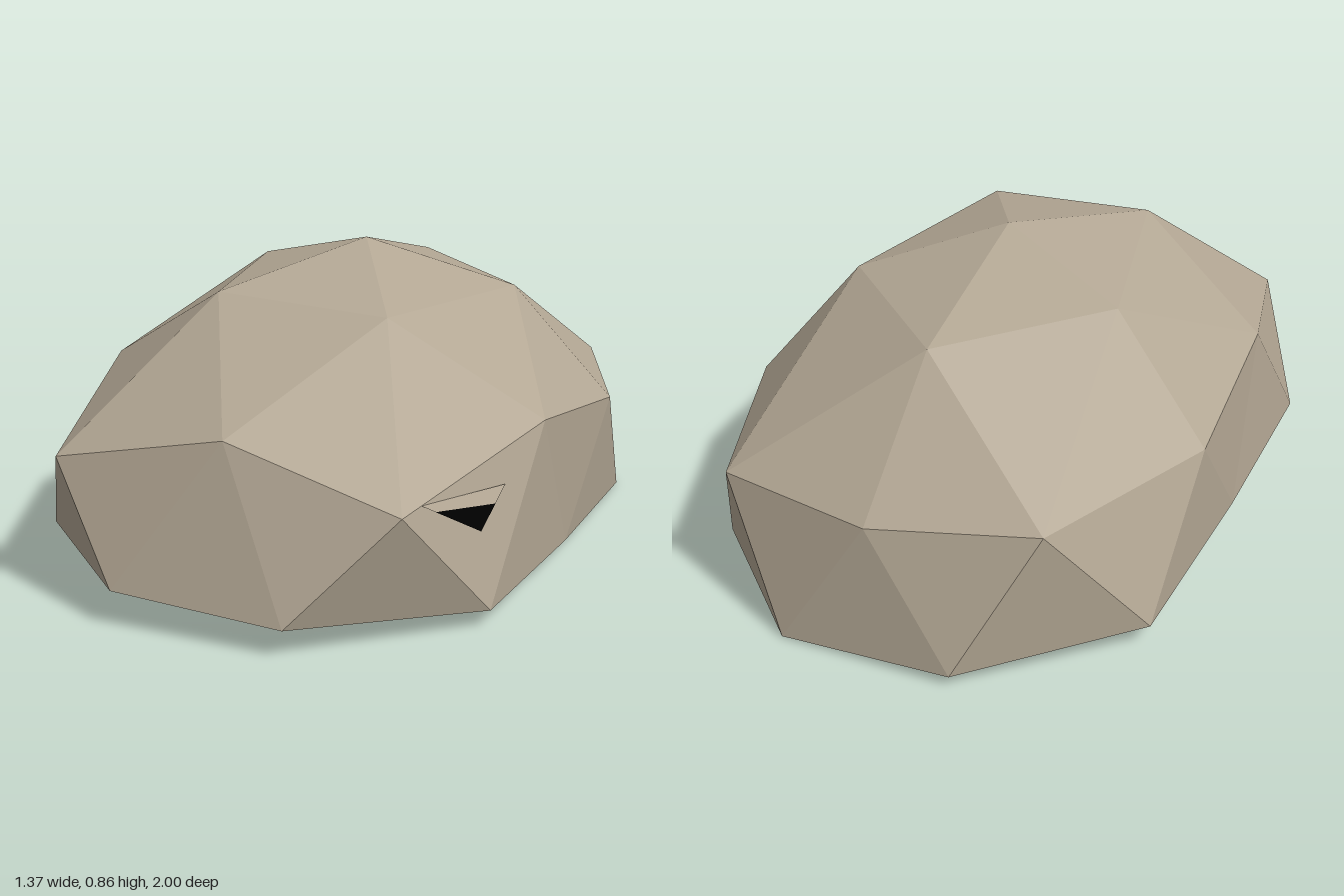
import * as THREE from 'three';

const stone = new THREE.MeshStandardMaterial({ color: 0xb3a794, flatShading: true, side: THREE.DoubleSide });
stone.name = 'warm grey stone';
const black = new THREE.MeshStandardMaterial({ color: 0x000000, flatShading: true, side: THREE.DoubleSide });
black.name = 'black';

function facets(name, triangles, material) {
  const geometry = new THREE.BufferGeometry().setFromPoints(
    triangles.flat().map((p) => new THREE.Vector3(...p)));
  geometry.computeVertexNormals();
  const mesh = new THREE.Mesh(geometry, material);
  mesh.name = name;
  return mesh;
}

export function createModel() {
  const model = new THREE.Group();
  model.name = 'boulder';

  // Rings of the half-dome, each running front, +x side, back, -x side
  const apex = [0.01, 0.855, -0.03];
  const crown = [[0.25, 0.74, 0.42], [0.41, 0.713, -0.19], [0, 0.717, -0.58],
    [-0.39, 0.745, -0.21], [-0.25, 0.765, 0.41]];
  const corners = [[0.463, 0.36, 0.865], [0.683, 0.375, -0.29], [0.01, 0.378, -0.945],
    [-0.685, 0.43, -0.31], [-0.517, 0.393, 0.85]];
  const between = [[0.64, 0.455, 0.25], [0.48, 0.37, -0.84], [-0.45, 0.42, -0.86],
    [-0.66, 0.513, 0.24], [-0.015, 0.503, 0.873]];
  const rim = [[0.2, 0.077, 1], [0.615, 0.047, 0.62], [0.64, 0.02, 0], [0.64, 0, -0.6],
    [0.245, 0.003, -0.99], [-0.25, 0.03, -1], [-0.66, 0.06, -0.63], [-0.685, 0.08, 0],
    [-0.685, 0.1, 0.6], [-0.29, 0.1, 0.985]];

  // Eight facets in each of the five sectors; the underside is open
  const shell = [];
  for (let i = 0; i < 5; i++) {
    const j = (i + 1) % 5;
    const [a, b, c] = [rim[2 * i], rim[2 * i + 1], rim[2 * j]];
    const mid = between[i];
    shell.push(
      [apex, crown[i], crown[j]],
      [crown[i], corners[i], mid],
      [crown[i], mid, crown[j]],
      [crown[j], mid, corners[j]],
      [corners[i], a, b],
      [corners[i], b, mid],
      [mid, b, c],
      [mid, c, corners[j]]);
  }
  model.add(facets('rockShell', shell, stone));

  // Thin splinter on the front corner, with a black outer tip
  const rear = [0.6, 0.34, 0.47], inner = [0.485, 0.372, 0.79], tip = [0.65, 0.34, 0.82];
  const cutRear = [0.622, 0.34, 0.62], cutFront = [0.525, 0.364, 0.797];
  model.add(facets('splinterBase', [[rear, inner, cutFront], [rear, cutFront, cutRear]], stone));
  model.add(facets('splinterTip', [[cutRear, cutFront, tip]], black));

  return model;
}
